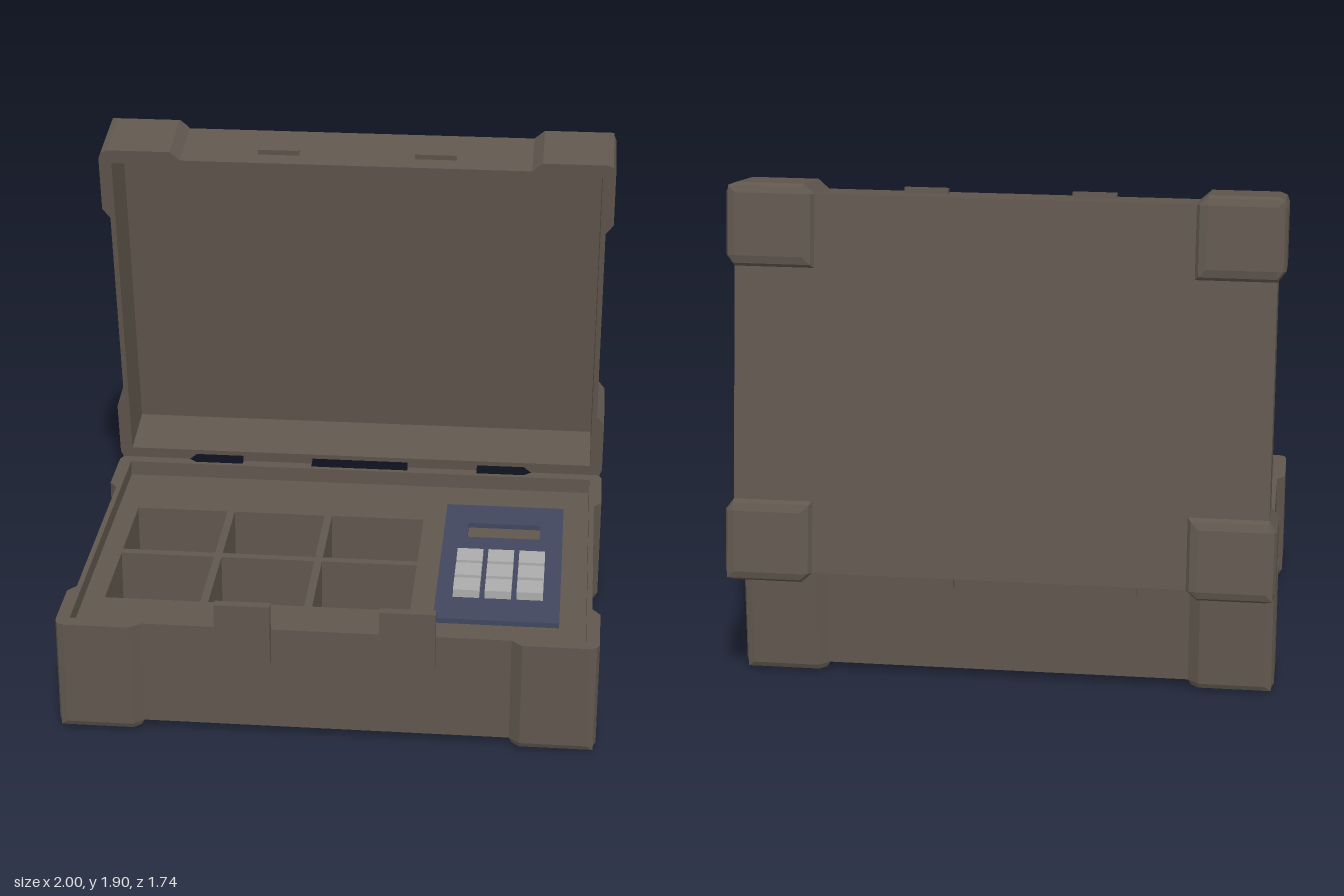
import * as THREE from 'three';

const HX = 0.97, HZ = 0.69, WALL = 0.02;   // half size of each shell and its wall thickness
const clamp = THREE.MathUtils.clamp;

function mat(name, color) {
  const m = new THREE.MeshStandardMaterial({ color });
  m.name = name;
  return m;
}

function add(group, name, geo, material) {
  const mesh = new THREE.Mesh(geo, material);
  mesh.name = name;
  group.add(mesh);
  return mesh;
}

// Box given by its limits
function block(x0, x1, y0, y1, z0, z1) {
  return new THREE.BoxGeometry(x1 - x0, y1 - y0, z1 - z0)
    .translate((x0 + x1) / 2, (y0 + y1) / 2, (z0 + z1) / 2);
}

const rect = (x0, x1, z0, z1) =>
  [[x0, z0], [x1, z0], [x1, z1], [x0, z1]].map(p => new THREE.Vector2(...p));

// Plan outline with holes, raised from y0 to y1
function slab(points, holes, y0, y1) {
  const shape = new THREE.Shape(points);
  holes.forEach(h => shape.holes.push(new THREE.Path(h)));
  return new THREE.ExtrudeGeometry(shape, { depth: y1 - y0, bevelEnabled: false })
    .rotateX(Math.PI / 2).translate(0, y1, 0);
}

// Mirror a geometry in x and z, keeping its faces outward
function mirrored(geo, sx, sz) {
  const g = geo.index ? geo.toNonIndexed() : geo.clone();
  const p = g.attributes.position;
  for (let i = 0; i < p.count; i++) p.setXYZ(i, p.getX(i) * sx, p.getY(i), p.getZ(i) * sz);
  if (sx * sz < 0) {
    const a = new THREE.Vector3(), b = new THREE.Vector3();
    for (let i = 0; i < p.count; i += 3) {
      a.fromBufferAttribute(p, i + 1);
      b.fromBufferAttribute(p, i + 2);
      p.setXYZ(i + 1, b.x, b.y, b.z);
      p.setXYZ(i + 2, a.x, a.y, a.z);
    }
  }
  g.computeVertexNormals();
  return g;
}

// Outer edge of a corner guard, seen in plan
const GUARD = [[0.68, 0.69], [0.72, 0.725], [0.965, 0.725], [0.99, 0.715],
  [1, 0.69], [1, 0.465], [0.97, 0.425]];

// Bevelled foot of a guard: outlines that shrink toward the bottom
function guardFoot() {
  const outline = [[0.68, 0.425], ...GUARD];
  const n = outline.length;
  const rings = [[0.03, 0], [0.01, 0.29], [0, 1]].map(([y, t]) => outline.map(([x, z]) =>
    [clamp(x, 0.68 + 0.04 * t, 1 - 0.035 * t), y, clamp(z, 0.425 + 0.04 * t, 0.725 - 0.035 * t)]));
  const pos = [];
  for (let r = 0; r < 2; r++) {
    for (let i = 0; i < n; i++) {
      const j = (i + 1) % n;
      const a = rings[r][i], b = rings[r][j], c = rings[r + 1][j], d = rings[r + 1][i];
      pos.push(...a, ...b, ...c, ...a, ...c, ...d);
    }
  }
  for (let i = 1; i < n - 1; i++) pos.push(...rings[2][0], ...rings[2][i + 1], ...rings[2][i]);
  const g = new THREE.BufferGeometry();
  g.setAttribute('position', new THREE.Float32BufferAttribute(pos, 3));
  // Outline runs clockwise in plan, so turn faces outward if the first side points inward
  g.computeVertexNormals();
  const nrm = g.attributes.normal;
  if (nrm.getX(0) > 0) {
    for (let i = 0; i < pos.length; i += 9) {
      for (let k = 0; k < 3; k++) [pos[i + 3 + k], pos[i + 6 + k]] = [pos[i + 6 + k], pos[i + 3 + k]];
    }
    for (let i = (n - 2) * 9, s = pos.length - i; s < pos.length; s += 9) {
      for (let k = 0; k < 3; k++) [pos[s + 3 + k], pos[s + 6 + k]] = [pos[s + 6 + k], pos[s + 3 + k]];
    }
    g.setAttribute('position', new THREE.Float32BufferAttribute(pos, 3));
  }
  return g;
}

// Open tray with four corner guards; the opening faces up
function shell(name, height, casing) {
  const group = new THREE.Group();
  group.name = name;
  const ix = HX - WALL, iz = HZ - WALL;
  add(group, 'walls', slab(rect(-HX, HX, -HZ, HZ), [rect(-ix, ix, -iz, iz)], 0.03, height), casing);
  add(group, 'floor', block(-HX, HX, 0.03, 0.05, -HZ, HZ), casing);
  const side = slab([...GUARD, [0.96, 0.425], [0.96, 0.68], [0.68, 0.68]]
    .map(p => new THREE.Vector2(...p)), [], 0.03, height);
  const foot = guardFoot();
  for (const sx of [-1, 1]) for (const sz of [-1, 1]) {
    add(group, 'cornerGuard', mirrored(side, sx, sz), casing);
    add(group, 'cornerFoot', mirrored(foot, sx, sz), casing);
  }
  return group;
}

export function createModel() {
  const casing = mat('casing brown', 0x60574e);
  const panelBlue = mat('panel blue', 0x41475f);
  const keyGrey = mat('key grey', 0xababab);
  const model = new THREE.Group();
  model.name = 'case';

  // Base with compartment tray
  const base = shell('base', 0.44, casing);
  base.position.z = 0.145;
  model.add(base);
  const cells = [];
  for (const [x0, x1] of [[-0.87, -0.505], [-0.475, -0.11], [-0.08, 0.29]])
    for (const [z0, z1] of [[-0.365, -0.005], [0.03, 0.395]]) cells.push(rect(x0, x1, z0, z1));
  add(base, 'compartmentTray', slab(rect(-0.95, 0.95, -0.67, 0.67), cells, 0.05, 0.38), casing);

  // Control panel with display window and keypad
  add(base, 'controlPanel', slab(rect(0.38, 0.85, -0.475, 0.475),
    [rect(0.475, 0.76, -0.315, -0.195)], 0.38, 0.4), panelBlue);
  for (let r = 0; r < 3; r++) for (let c = 0; c < 3; c++) {
    const x = 0.495 + c * 0.12, z = 0.015 + r * 0.12;
    add(base, 'key', block(x - 0.05, x + 0.05, 0.4, 0.432, z - 0.05, z + 0.05), keyGrey);
  }

  // Lid, leaning back on its hinges
  const lid = shell('lid', 0.3, casing);
  lid.rotation.x = THREE.MathUtils.degToRad(99.3);
  lid.position.set(0, 1.194, -0.754);
  model.add(lid);

  // Latches, catches and hinges in pairs
  for (const s of [-1, 1]) {
    const pair = (group, name, a, b, ...yz) =>
      add(group, name, block(Math.min(s * a, s * b), Math.max(s * a, s * b), ...yz), casing);
    pair(base, 'latch', 0.2, 0.405, 0.315, 0.55, 0.69, 0.725);
    pair(base, 'baseHinge', 0.2, 0.485, 0.36, 0.44, -0.72, -0.69);
    pair(lid, 'lidCatch', 0.225, 0.385, 0.2, 0.23, -0.71, -0.69);
    pair(lid, 'lidHinge', 0.2, 0.485, 0.18, 0.3, 0.69, 0.72);
  }
  return model;
}
